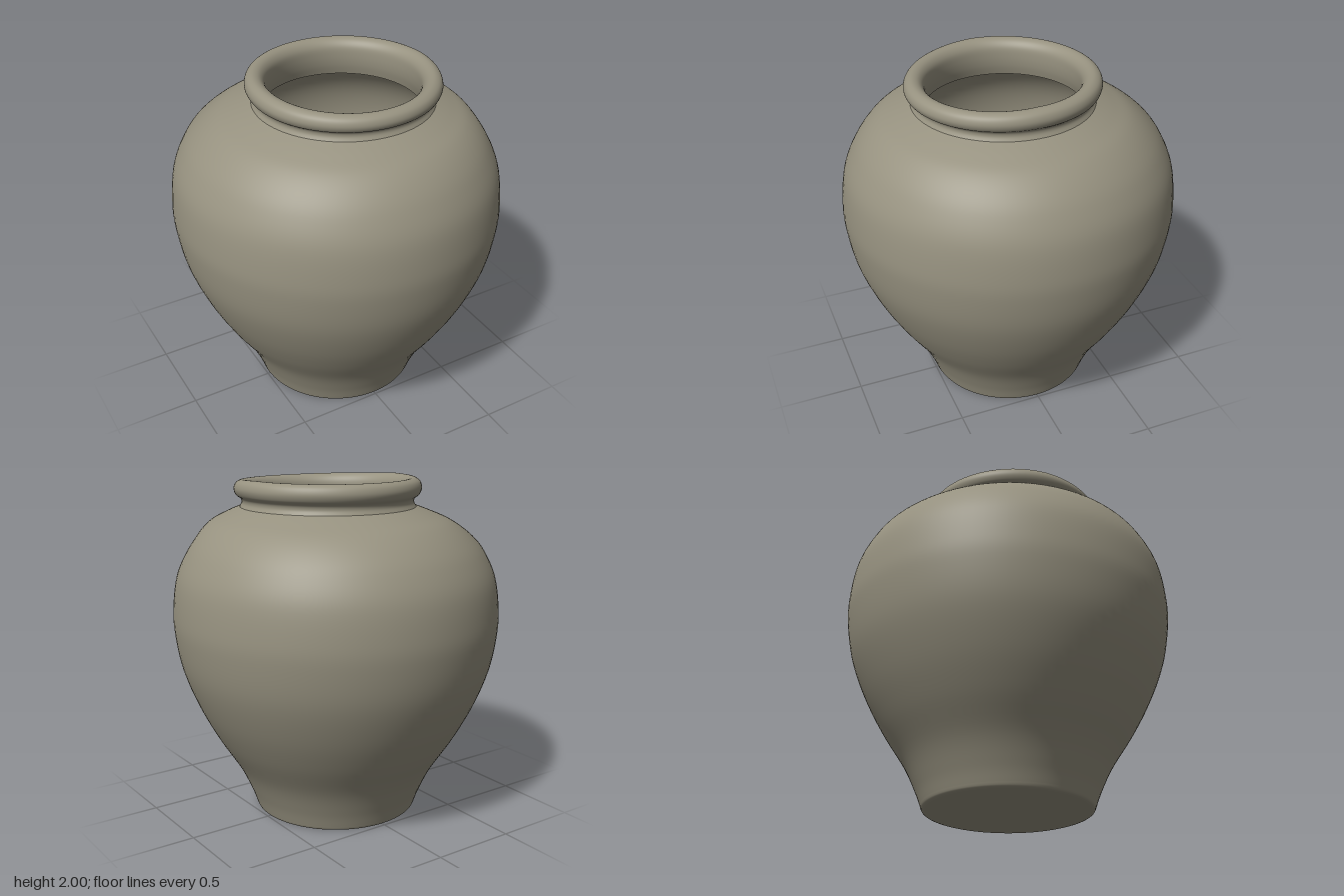
import * as THREE from 'three';

const SEGMENTS = 96;
const smooth = THREE.MathUtils.smoothstep;

// Hand-thrown irregularity: slightly oval belly, off-centre neck, lip dipping at the front
function throwByHand(geometry) {
  const p = geometry.attributes.position;
  for (let i = 0; i < p.count; i++) {
    const x = p.getX(i), y = p.getY(i), z = p.getZ(i);
    const r = Math.hypot(x, z) || 1;
    const neck = smooth(y, 1.6, 1.86);
    const oval = 1 + 0.016 * Math.sin(Math.PI * Math.min(y, 2) / 2);
    const dip = 0.022 * smooth(y, 1.84, 2) * Math.max(0, z / r);
    p.setXYZ(i, x + 0.026 * neck, y - dip, z * oval + 0.042 * neck);
  }
  return geometry;
}

// Revolve a smooth curve through a few [radius, height] points
function turned(name, points, steps, material) {
  const curve = new THREE.SplineCurve(points.map(([r, y]) => new THREE.Vector2(r, y)));
  const profile = curve.getPoints(steps);
  const mesh = new THREE.Mesh(throwByHand(new THREE.LatheGeometry(profile, SEGMENTS)), material);
  mesh.name = name;
  return mesh;
}

function disc(name, radius, y, facing, material) {
  const geometry = new THREE.CircleGeometry(radius, SEGMENTS);
  geometry.rotateX(-facing * Math.PI / 2);
  const mesh = new THREE.Mesh(geometry, material);
  mesh.position.y = y;
  mesh.name = name;
  return mesh;
}

export function createModel() {
  const clay = new THREE.MeshStandardMaterial({ color: 0x979280 });
  clay.name = 'grey-green clay';
  const jar = new THREE.Group();
  jar.name = 'jar';

  // Foot: flat underside with a small rounded edge
  jar.add(disc('underside', 0.47, 0, -1, clay));
  jar.add(turned('footEdge', [[0.47, 0], [0.488, 0.008], [0.497, 0.03]], 6, clay));

  // Outer wall from the foot over the belly to the shoulder
  jar.add(turned('body', [
    [0.497, 0.03], [0.53, 0.12], [0.6, 0.27], [0.725, 0.47], [0.83, 0.67],
    [0.914, 0.89], [0.953, 1.1], [0.957, 1.25], [0.933, 1.43], [0.873, 1.57],
    [0.8, 1.67], [0.71, 1.748], [0.61, 1.797], [0.515, 1.835],
  ], 70, clay));

  // Neck, rolled rim and throat
  jar.add(turned('neckAndRim', [
    [0.515, 1.835], [0.503, 1.86], [0.508, 1.885], [0.535, 1.908], [0.547, 1.945],
    [0.534, 1.982], [0.5, 2], [0.462, 1.99], [0.436, 1.955], [0.43, 1.9],
    [0.435, 1.84], [0.45, 1.78],
  ], 60, clay));

  // Hollow inside
  jar.add(turned('innerWall', [
    [0.45, 1.78], [0.6, 1.725], [0.74, 1.63], [0.84, 1.46], [0.875, 1.22],
    [0.84, 0.92], [0.75, 0.67], [0.64, 0.46], [0.52, 0.26], [0.44, 0.1],
  ], 50, clay));
  jar.add(disc('innerFloor', 0.445, 0.1, 1, clay));

  return jar;
}
